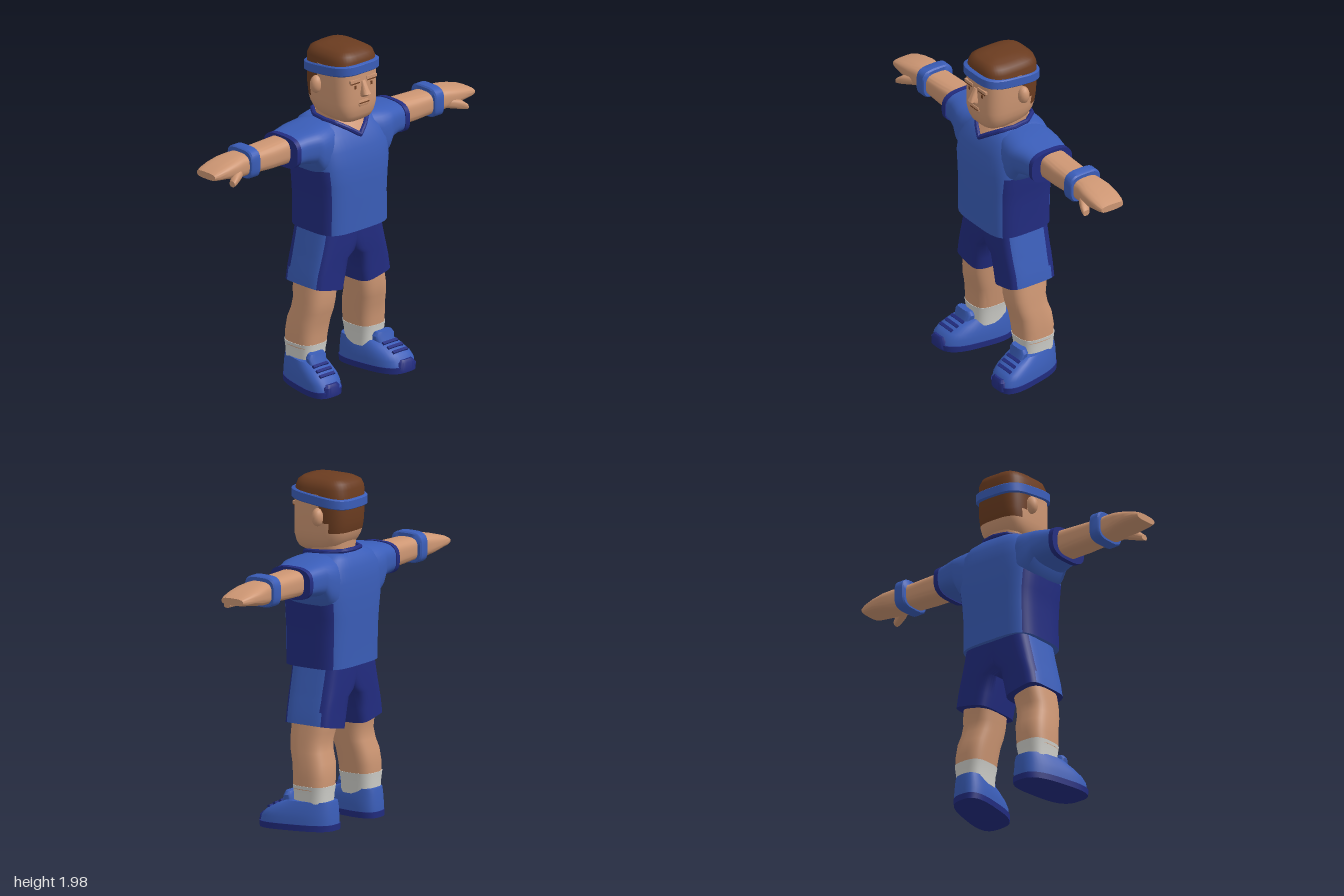
import * as THREE from 'three';
import { toCreasedNormals } from 'three/addons/utils/BufferGeometryUtils.js';

const material = (name, color) => Object.assign(new THREE.MeshStandardMaterial({ color }), { name });

// Rounded-box loft. Rings are [t, a0, a1, b0, b1]:
// axis 'y' -> t is y, a is x, b is z; axis 'z' -> t is z, a is x, b is y.
function loft(rings, { axis = 'y', n = 3.5, segs = 40, warp, pick } = {}) {
  const points = [];
  const place = (t, a, b) => {
    const v = axis === 'y' ? new THREE.Vector3(a, t, b) : new THREE.Vector3(a, b, t);
    if (warp) warp(v);
    return points.push(v) - 1;
  };
  const power = (v) => Math.sign(v) * Math.abs(v) ** (2 / n);
  const grid = rings.map(([t, a0, a1, b0, b1]) => Array.from({ length: segs }, (_, j) => {
    const q = ((j + 0.5) / segs) * Math.PI * 2;
    return place(t, (a0 + a1) / 2 + power(Math.cos(q)) * (a1 - a0) / 2,
      (b0 + b1) / 2 + power(Math.sin(q)) * (b1 - b0) / 2);
  }));
  const buckets = [[], []];
  const face = (...ids) => {
    const mid = new THREE.Vector3();
    ids.forEach((i) => mid.addScaledVector(points[i], 1 / ids.length));
    const bucket = buckets[pick && pick(mid) ? 1 : 0];
    if (axis === 'z') ids.reverse();
    for (let k = 1; k < ids.length - 1; k++) bucket.push(ids[0], ids[k], ids[k + 1]);
  };
  const last = rings.length - 1;
  const caps = [0, last].map((i) => {
    const [t, a0, a1, b0, b1] = rings[i];
    return place(t, (a0 + a1) / 2, (b0 + b1) / 2);
  });
  for (let j = 0; j < segs; j++) {
    const k = (j + 1) % segs;
    for (let i = 0; i < last; i++) face(grid[i][j], grid[i + 1][j], grid[i + 1][k], grid[i][k]);
    face(caps[0], grid[0][j], grid[0][k]);
    face(caps[1], grid[last][k], grid[last][j]);
  }
  const geo = new THREE.BufferGeometry().setFromPoints(points);
  geo.setIndex(buckets.flat());
  if (pick) {
    geo.addGroup(0, buckets[0].length, 0);
    geo.addGroup(buckets[0].length, buckets[1].length, 1);
  }
  return geo;
}

// Mirror an indexed geometry across z = 0, keeping faces outward.
function mirrored(source) {
  const geo = source.clone().scale(1, 1, -1);
  const ix = geo.index;
  for (let i = 0; i < ix.count; i += 3) {
    const b = ix.getX(i + 1);
    ix.setX(i + 1, ix.getX(i + 2));
    ix.setX(i + 2, b);
  }
  return geo;
}

export function createModel() {
  const model = new THREE.Group();
  model.name = 'sportsman';
  const blue = material('sportBlue', 0x3a5db8);
  const navy = material('navy', 0x222c80);
  const skin = material('skin', 0xcd9673);
  const hair = material('hairBrown', 0x6b3c20);
  const white = material('sockWhite', 0xd0d0cb);

  const add = (name, geo, mat) => {
    geo.deleteAttribute('uv');
    geo.computeVertexNormals();
    const mesh = new THREE.Mesh(toCreasedNormals(geo, 0.75), mat);
    mesh.name = name;
    model.add(mesh);
  };
  const pair = (name, geo, mat) => {
    add(name + 'Left', mirrored(geo), mat);
    add(name + 'Right', geo, mat);
  };
  const box = (w, h, d, x, y, z, rz = 0) => new THREE.BoxGeometry(w, h, d).rotateZ(rz).translate(x, y, z);

  // Shirt body with dark side panels
  add('shirt', loft([
    [0.915, -0.225, 0.17, -0.245, 0.245], [1.1, -0.23, 0.172, -0.243, 0.243],
    [1.2, -0.235, 0.174, -0.248, 0.248], [1.3, -0.238, 0.172, -0.262, 0.262],
    [1.4, -0.237, 0.155, -0.26, 0.26], [1.48, -0.228, 0.125, -0.245, 0.245],
    [1.535, -0.205, 0.085, -0.2, 0.2], [1.56, -0.18, 0.04, -0.14, 0.14],
  ], { n: 4, segs: 48, pick: (v) => v.y < 1.3 && v.y > 0.92 && v.x > -0.195 && v.x < 0.135 && Math.abs(v.z) > 0.19 }), [blue, navy]);

  // Sleeves and cuffs
  pair('sleeve', loft([
    [0.1, -0.2, 0.1, 1.25, 1.555], [0.2, -0.222, 0.13, 1.235, 1.555], [0.255, -0.215, 0.128, 1.275, 1.55],
    [0.29, -0.205, 0.118, 1.34, 1.545], [0.35, -0.192, 0.095, 1.348, 1.535], [0.405, -0.183, 0.083, 1.35, 1.525],
  ], { axis: 'z', n: 3 }), blue);
  pair('sleeveCuff', loft([
    [0.402, -0.187, 0.09, 1.343, 1.53], [0.432, -0.187, 0.09, 1.343, 1.528],
  ], { axis: 'z', n: 3 }), navy);

  // Arms with hands, thumbs and wristbands
  pair('arm', loft([
    [0.4, -0.145, 0.03, 1.362, 1.515], [0.55, -0.142, 0.032, 1.365, 1.51], [0.7, -0.138, 0.025, 1.372, 1.505],
    [0.78, -0.148, 0.03, 1.375, 1.505], [0.84, -0.157, 0.038, 1.385, 1.497], [0.91, -0.153, 0.036, 1.398, 1.482],
    [0.97, -0.143, 0.028, 1.405, 1.465], [1, -0.13, 0.018, 1.412, 1.452],
  ], { axis: 'z', n: 3 }), skin);
  pair('thumb', loft([
    [0.77, -0.03, 0.01, 1.39, 1.44], [0.82, -0.02, 0.045, 1.38, 1.44],
    [0.87, 0.01, 0.068, 1.37, 1.425], [0.9, 0.03, 0.073, 1.366, 1.4],
  ], { axis: 'z', n: 2.6, segs: 16 }), skin);
  pair('wristband', loft([
    [0.672, -0.155, 0.04, 1.362, 1.525], [0.68, -0.163, 0.047, 1.356, 1.533],
    [0.733, -0.163, 0.047, 1.356, 1.533], [0.742, -0.155, 0.04, 1.362, 1.525],
  ], { axis: 'z' }), blue);

  // Shorts: two legs with a light stripe on each outer side
  pair('shorts', loft([
    [0.57, -0.195, 0.112, 0.07, 0.293], [0.65, -0.195, 0.113, 0.053, 0.28],
    [0.74, -0.197, 0.116, 0.03, 0.262], [0.775, -0.198, 0.118, -0.02, 0.255],
    [0.85, -0.2, 0.12, -0.06, 0.237], [0.94, -0.2, 0.12, -0.08, 0.217],
  ], {
    n: 4.5, segs: 44, warp: (v) => { if (v.y < 0.7) v.y += (v.z - 0.15) * 0.2; },
    pick: (v) => v.z > 0.17 && v.x > -0.145 && v.x < 0.085 && v.y > 0.6,
  }), [navy, blue]);

  // Legs and socks
  pair('leg', loft([
    [0.23, -0.175, 0.043, 0.127, 0.322], [0.3, -0.178, 0.048, 0.118, 0.32], [0.38, -0.168, 0.058, 0.107, 0.314],
    [0.44, -0.148, 0.076, 0.1, 0.303], [0.5, -0.14, 0.084, 0.092, 0.295], [0.55, -0.152, 0.085, 0.085, 0.287],
    [0.64, -0.16, 0.085, 0.075, 0.272],
  ], { n: 3 }), skin);
  pair('sock', loft([
    [0.13, -0.17, 0.038, 0.137, 0.315], [0.2, -0.174, 0.04, 0.132, 0.318], [0.252, -0.18, 0.047, 0.122, 0.324],
  ], { n: 3 }), white);

  // Shoes, toes turned outward
  const splay = (v) => { v.z = 0.248 + (v.z - 0.248) * (1 + 0.35 * v.x) + 0.18 * v.x; };
  const shoePart = (name, rings, mat, n = 3) => pair(name, loft(rings, { n, warp: splay }), mat);
  shoePart('shoeSole', [[0, -0.208, 0.228, 0.134, 0.362], [0.035, -0.21, 0.23, 0.132, 0.364]], navy);
  shoePart('shoeUpper', [
    [0.03, -0.205, 0.224, 0.136, 0.36], [0.07, -0.205, 0.215, 0.136, 0.36], [0.1, -0.202, 0.19, 0.14, 0.356],
    [0.135, -0.2, 0.13, 0.147, 0.348], [0.165, -0.195, 0.07, 0.157, 0.338],
  ], blue);
  shoePart('toeCap', [[0.01, 0.1, 0.235, 0.188, 0.308], [0.06, 0.1, 0.235, 0.193, 0.303], [0.076, 0.1, 0.222, 0.205, 0.291]], navy, 4);
  shoePart('shoeTongue', [[0.14, 0.015, 0.1, 0.19, 0.306], [0.19, 0.025, 0.082, 0.18, 0.316], [0.212, 0.03, 0.076, 0.195, 0.301]], blue);
  [[0.1, 0.152], [0.135, 0.134], [0.168, 0.114]].forEach(([x, y]) =>
    pair('shoelace', box(0.018, 0.012, 0.11, x, y, 0.25 + 0.18 * x, -0.5), navy));

  // Neck, skin inside the V and the collar
  add('neck', loft([[1.45, -0.14, 0.06, -0.11, 0.11], [1.56, -0.145, 0.08, -0.118, 0.118], [1.62, -0.15, 0.1, -0.125, 0.125]], { n: 3 }), skin);
  const half = [[-0.18, 1.572, 0], [-0.165, 1.57, 0.08], [-0.09, 1.565, 0.135], [0.0, 1.56, 0.142], [0.07, 1.55, 0.118], [0.115, 1.515, 0.06], [0.143, 1.474, 0]];
  const rim = [...half, ...half.slice(1, -1).reverse().map(([x, y, z]) => [x, y, -z])].map((p) => new THREE.Vector3(...p));
  const fan = new THREE.BufferGeometry().setFromPoints([new THREE.Vector3(0.085, 1.565, 0), ...rim]);
  fan.setIndex(rim.flatMap((_, i) => [0, i + 1, ((i + 1) % rim.length) + 1]));
  add('necklineSkin', fan, skin);
  const collar = new THREE.CurvePath();
  rim.forEach((p, i) => collar.add(new THREE.LineCurve3(p, rim[(i + 1) % rim.length])));
  add('collar', new THREE.TubeGeometry(collar, 72, 0.014, 8, true), navy);

  // Head with the hairline at the back and sides
  add('head', loft([
    [1.555, -0.02, 0.125, -0.085, 0.085], [1.572, -0.09, 0.148, -0.115, 0.115], [1.6, -0.14, 0.16, -0.136, 0.136],
    [1.64, -0.165, 0.168, -0.149, 0.149], [1.675, -0.178, 0.17, -0.153, 0.153], [1.73, -0.187, 0.169, -0.155, 0.155],
    [1.79, -0.19, 0.168, -0.156, 0.156], [1.89, -0.19, 0.165, -0.154, 0.154],
  ], { segs: 56, pick: (v) => v.y > 1.675 && v.x < (v.y < 1.73 ? -0.115 : v.y < 1.79 ? -0.07 : -0.04) }), [skin, hair]);
  add('hairTop', loft([
    [1.86, -0.192, 0.166, -0.156, 0.156], [1.92, -0.19, 0.16, -0.152, 0.152], [1.953, -0.178, 0.15, -0.138, 0.138],
    [1.973, -0.145, 0.125, -0.105, 0.105], [1.984, -0.08, 0.07, -0.05, 0.05],
  ]), hair);
  add('headband', loft([
    [1.832, -0.2, 0.178, -0.16, 0.16], [1.838, -0.208, 0.186, -0.166, 0.166],
    [1.884, -0.208, 0.186, -0.166, 0.166], [1.89, -0.2, 0.178, -0.16, 0.16],
  ], { warp: (v) => { v.y += 0.11 * v.x; } }), blue);

  // Face
  pair('ear', new THREE.SphereGeometry(1, 16, 12).scale(0.034, 0.052, 0.036).translate(-0.045, 1.765, 0.163), skin);
  add('nose', loft([
    [1.712, 0.15, 0.188, -0.022, 0.022], [1.73, 0.15, 0.214, -0.027, 0.027], [1.755, 0.15, 0.2, -0.02, 0.02], [1.805, 0.15, 0.174, -0.013, 0.013],
  ], { n: 3, segs: 16 }), skin);
  pair('browRidge', box(0.02, 0.018, 0.075, 0.162, 1.812, 0.062), skin);
  pair('eyebrow', box(0.009, 0.007, 0.065, 0.167, 1.799, 0.062), hair);
  pair('eye', box(0.008, 0.02, 0.014, 0.165, 1.775, 0.06), hair);
  add('lips', loft([[1.655, 0.15, 0.173, -0.035, 0.035], [1.67, 0.15, 0.178, -0.042, 0.042], [1.69, 0.15, 0.173, -0.035, 0.035]], { n: 4, segs: 16 }), skin);
  add('mouthLine', box(0.008, 0.005, 0.07, 0.175, 1.675, 0), hair);
  return model;
}
